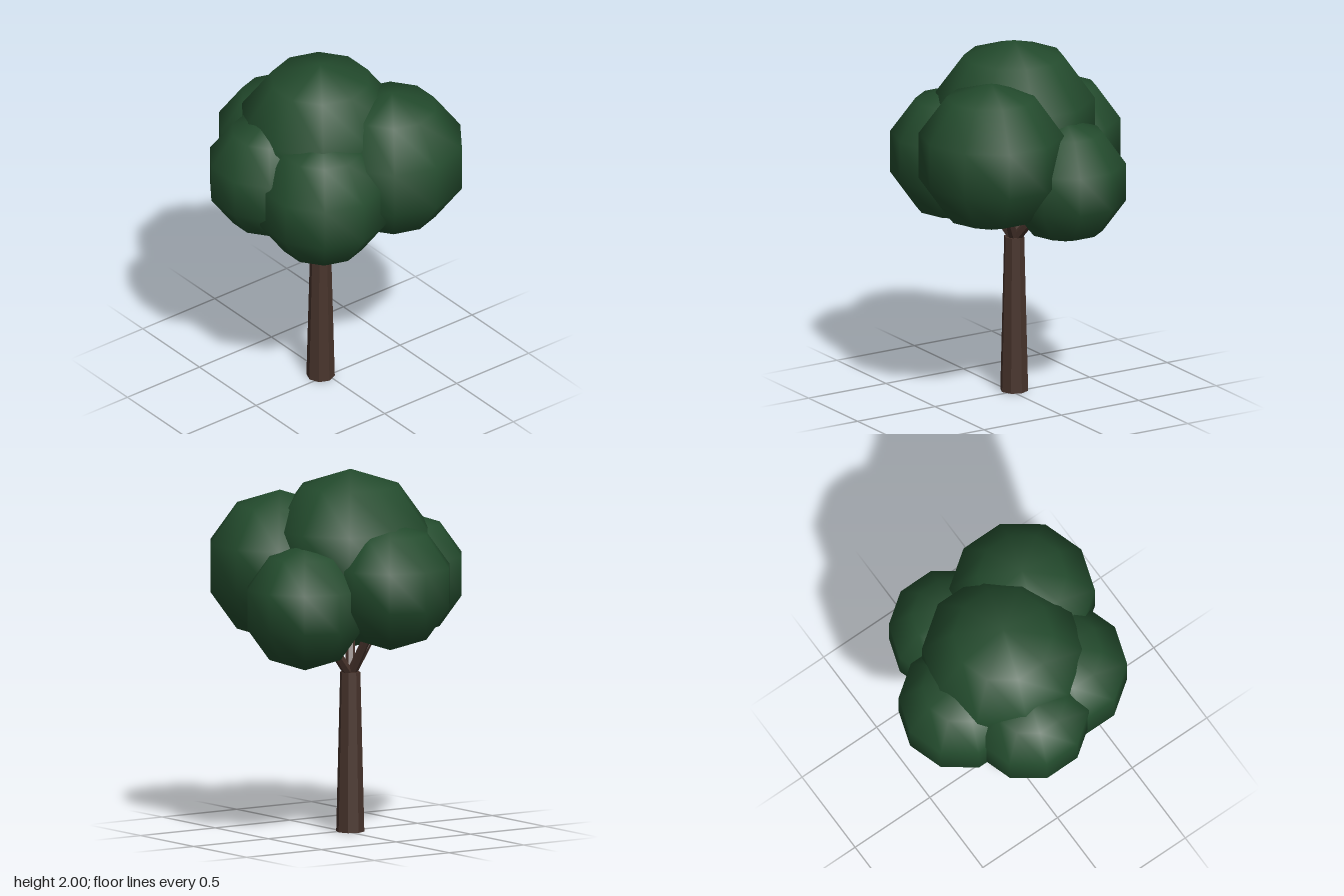
import * as THREE from 'three';

const foliageMat = new THREE.MeshStandardMaterial({ color: 0x234b2d });
foliageMat.name = 'dark green foliage';
const barkMat = new THREE.MeshStandardMaterial({ color: 0x48342c, flatShading: true });
barkMat.name = 'brown bark';

// Foliage clumps: x, y, z, radius. The first is the crown above the trunk.
const CLUMPS = [
  ['crownFoliage', -0.03, 1.534, -0.03, 0.466],
  ['frontLeftFoliage', 0.225, 1.452, 0.278, 0.418],
  ['frontRightFoliage', -0.215, 1.351, 0.225, 0.381],
  ['rightFoliage', -0.35, 1.4, -0.085, 0.346],
  ['backFoliage', -0.072, 1.388, -0.345, 0.355],
  ['leftFoliage', 0.343, 1.278, -0.126, 0.347],
];

export function createModel() {
  const tree = new THREE.Group();
  tree.name = 'tree';

  // Tapered eight-sided trunk
  const trunkTop = new THREE.Vector3(-0.028, 0.88, -0.03);
  const trunk = new THREE.Mesh(new THREE.CylinderGeometry(0.056, 0.078, 0.88, 8), barkMat);
  trunk.name = 'trunk';
  trunk.position.set(trunkTop.x, 0.44, trunkTop.z);
  tree.add(trunk);

  const up = new THREE.Vector3(0, 1, 0);
  CLUMPS.forEach(([name, x, y, z, radius], i) => {
    // Rounded clump, turned so that a corner points to the front
    const clump = new THREE.Mesh(new THREE.SphereGeometry(radius, 10, 5), foliageMat);
    clump.name = name;
    clump.position.set(x, y, z);
    clump.rotation.y = Math.PI / 2;
    tree.add(clump);
    if (i === 0) return;

    // Thin branch from the trunk top into each outer clump
    const start = trunkTop.clone().setY(0.86);
    const dir = clump.position.clone().sub(start);
    const length = dir.length() * 0.8;
    dir.normalize();
    const branch = new THREE.Mesh(new THREE.CylinderGeometry(0.021, 0.028, length, 6), barkMat);
    branch.name = name.replace('Foliage', 'Branch');
    branch.quaternion.setFromUnitVectors(up, dir);
    branch.position.copy(start).addScaledVector(dir, length / 2);
    tree.add(branch);
  });

  return tree;
}
